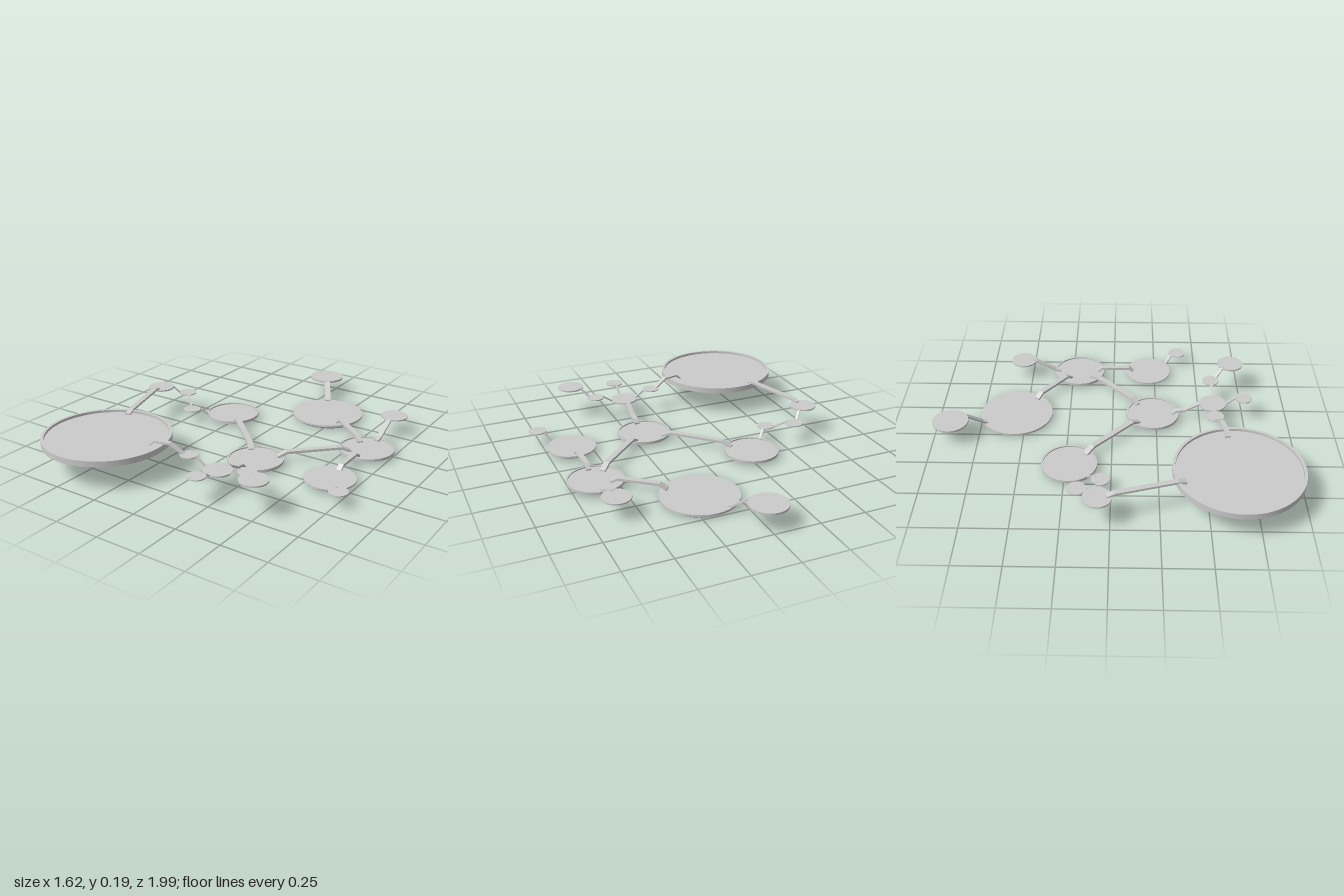
import * as THREE from 'three';
import { toCreasedNormals } from 'three/addons/utils/BufferGeometryUtils.js';

const material = new THREE.MeshStandardMaterial({ color: 0xcccccc });

// Platforms: x, z, radius, bottom y, top y, [rim width, rim depth], bottom taper
const platforms = {
  largePlatform: { x: -0.47, z: 0.653, r: 0.34, y0: 0.14, y1: 0.172, rim: [0.016, 0.014] },
  centrePlatform: { x: 0.18, z: 0.23, r: 0.15, y0: 0.02, y1: 0.035, rim: [0.009, 0.007] },
  leftRearPlatform: { x: -0.28, z: -0.225, r: 0.15, y0: 0.02, y1: 0.035, rim: [0.007, 0.007] },
  rightRearPlatform: { x: 0.61, z: -0.21, r: 0.15, y0: 0.02, y1: 0.035, rim: [0.007, 0.007] },
  rearPlatform: { x: 0.18, z: -0.555, r: 0.206, y0: 0, y1: 0.025, taper: 0.02 },
  rearEndPlatform: { x: -0.02, z: -0.9, r: 0.1, y0: 0.1, y1: 0.112 },
  rightRearEndPlatform: { x: 0.612, z: -0.55, r: 0.075, y0: 0.099, y1: 0.107 },
  rightPlatform: { x: 0.615, z: 0.21, r: 0.135, y0: 0.015, y1: 0.033, taper: 0.015 },
  rightEndPlatform: { x: 0.758, z: 0.392, r: 0.05, y0: 0.069, y1: 0.075 },
  frontHub: { x: 0.18, z: 0.57, r: 0.077, y0: 0.097, y1: 0.106 },
  frontEndPlatform: { x: 0.18, z: 0.743, r: 0.049, y0: 0.138, y1: 0.144 },
  frontLeftStep: { x: 0.005, z: 0.57, r: 0.048, y0: 0.137, y1: 0.143 },
  frontRightStep: { x: 0.355, z: 0.57, r: 0.048, y0: 0.137, y1: 0.143 },
  frontRightEndPlatform: { x: 0.472, z: 0.69, r: 0.074, y0: 0.178, y1: 0.186 },
  sidePlatform: { x: -0.69, z: -0.063, r: 0.074, y0: 0.156, y1: 0.164 },
  upperSideStep: { x: -0.575, z: -0.17, r: 0.05, y0: 0.112, y1: 0.118 },
  lowerSideStep: { x: -0.455, z: -0.055, r: 0.048, y0: 0.068, y1: 0.074 },
};

// Round platform, optionally with a raised rim or a narrower underside
function addPlatform(group, name, { x, z, r, y0, y1, rim = [0, 0], taper = 0 }) {
  const h = y1 - y0;
  const profile = [[0, 0], [r - taper, 0]];
  if (taper) profile.push([r, h * 0.55]);
  profile.push([r, h]);
  if (rim[0]) profile.push([r - rim[0], h], [r - rim[0], h - rim[1]]);
  profile.push([0, h - rim[1]]);
  const lathe = new THREE.LatheGeometry(profile.map(([a, b]) => new THREE.Vector2(a, b)), 64);
  const mesh = new THREE.Mesh(toCreasedNormals(lathe, 0.5), material);
  mesh.position.set(x, y0, z);
  mesh.name = name;
  group.add(mesh);
}

// Flat walkway from one ground point to another; path = [fraction along, height]
function addWalkway(group, name, [ax, az], [bx, bz], path, width, thick) {
  const length = Math.hypot(bx - ax, bz - az);
  const upper = path.map(([t, y]) => new THREE.Vector2(t * length, y + thick / 2));
  const lower = path.map(([t, y]) => new THREE.Vector2(t * length, y - thick / 2)).reverse();
  const shape = new THREE.Shape([...lower.reverse(), ...upper.reverse()]);
  const geo = new THREE.ExtrudeGeometry(shape, { depth: width, bevelEnabled: false });
  geo.translate(0, 0, -width / 2);
  const mesh = new THREE.Mesh(geo, material);
  mesh.position.set(ax, 0, az);
  mesh.rotation.y = -Math.atan2(bz - az, bx - ax);
  mesh.name = name;
  group.add(mesh);
}

export function createModel() {
  const group = new THREE.Group();
  for (const [name, spec] of Object.entries(platforms)) addPlatform(group, name, spec);

  // Raised walkways between low platforms: ramp up, level run, ramp down
  const raised = [[0, 0.028], [0.13, 0.053], [0.87, 0.053], [1, 0.028]];
  const wide = 0.032, thin = 0.014;
  addWalkway(group, 'centreToLeftRearWalkway', [0.1, 0.148], [-0.2, -0.143], raised, wide, 0.014);
  addWalkway(group, 'centreToRightRearWalkway', [0.26, 0.148], [0.55, -0.138], raised, wide, 0.014);
  addWalkway(group, 'rearToRightRearWalkway', [0.31, -0.45], [0.545, -0.262], raised, wide, 0.014);
  addWalkway(group, 'rightRearToRightWalkway', [0.613, -0.1], [0.615, 0.12], raised, 0.028, 0.014);

  // Wide ramps between levels
  addWalkway(group, 'rightRearRamp', [0.612, -0.325], [0.612, -0.49],
    [[0, 0.033], [0.2, 0.04], [0.9, 0.1], [1, 0.103]], 0.028, 0.012);
  addWalkway(group, 'rearRamp', [0.092, -0.715], [0.025, -0.825],
    [[0, 0.025], [0.15, 0.03], [0.9, 0.104], [1, 0.106]], 0.034, 0.012);
  addWalkway(group, 'frontRamp', [0.18, 0.345], [0.18, 0.51],
    [[0, 0.032], [0.12, 0.05], [0.4, 0.055], [0.9, 0.1], [1, 0.101]], 0.03, 0.012);
  addWalkway(group, 'largeToSideWalkway', [-0.567, 0.38], [-0.683, -0.02],
    [[0, 0.162], [0.1, 0.174], [0.9, 0.174], [1, 0.162]], 0.03, 0.012);
  addWalkway(group, 'largeToFrontLeftRamp', [-0.205, 0.618], [-0.025, 0.576],
    [[0, 0.162], [0.15, 0.186], [0.6, 0.186], [1, 0.14]], 0.028, 0.01);

  // Narrow ramps between neighbouring small platforms, edge to edge
  const narrow = [
    ['frontHub', 'frontLeftStep'], ['frontHub', 'frontRightStep'], ['frontHub', 'frontEndPlatform'],
    ['frontRightStep', 'frontRightEndPlatform'], ['sidePlatform', 'upperSideStep'],
    ['upperSideStep', 'lowerSideStep'], ['lowerSideStep', 'leftRearPlatform'],
    ['rightPlatform', 'rightEndPlatform'],
  ];
  for (const [from, to] of narrow) {
    const a = platforms[from], b = platforms[to];
    const d = Math.hypot(b.x - a.x, b.z - a.z);
    const at = (s) => [a.x + (b.x - a.x) * s / d, a.z + (b.z - a.z) * s / d];
    const ya = (a.y0 + a.y1) / 2, yb = (b.y0 + b.y1) / 2;
    addWalkway(group, from + 'Ramp', at(a.r - 0.015), at(d - b.r + 0.015),
      [[0, ya], [0.15, ya], [0.85, yb], [1, yb]], thin, 0.009);
  }
  return group;
}
